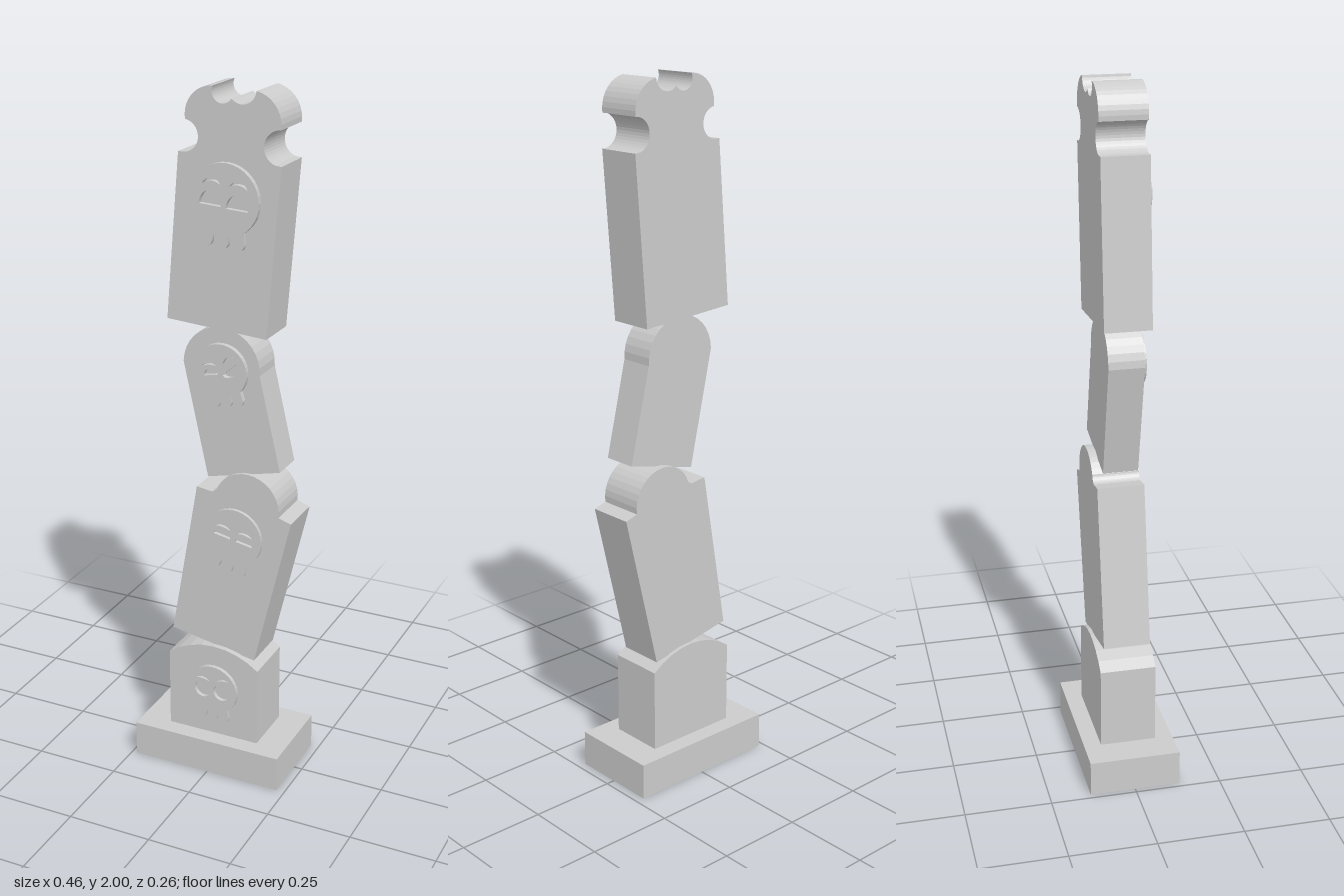
import * as THREE from 'three';

const material = new THREE.MeshStandardMaterial({ color: 0xcccccc });
const PI = Math.PI;

// Counter-clockwise outline of corners [x, y, bulge]. The bulge bends the edge arriving
// at that corner into an arc: height / half chord, positive outwards, negative inwards.
function outline(corners, Kind = THREE.Shape) {
  const pts = [new THREE.Vector2(corners[0][0], corners[0][1])];
  for (const [x, y, bulge = 0] of corners.slice(1)) {
    const a = pts[pts.length - 1], b = new THREE.Vector2(x, y);
    if (bulge) {
      const half = a.distanceTo(b) / 2, height = bulge * half;
      const radius = (half * half + height * height) / (2 * height);
      const normal = new THREE.Vector2(b.y - a.y, a.x - b.x).normalize();
      const centre = a.clone().lerp(b, 0.5).addScaledVector(normal, height - radius);
      const sweep = 4 * Math.atan(bulge), steps = Math.ceil(Math.abs(sweep) * 5) + 1;
      for (let i = 1; i < steps; i++) pts.push(a.clone().rotateAround(centre, sweep * i / steps));
    }
    pts.push(b);
  }
  return new Kind(pts);
}

// Slab cut from a shape, from z = back to z = front
function slab(name, shape, back, front) {
  const geo = new THREE.ExtrudeGeometry(shape, { depth: front - back, bevelEnabled: false });
  geo.translate(0, 0, back);
  const mesh = new THREE.Mesh(geo, material);
  mesh.name = name;
  return mesh;
}

// Eye hole: an ellipse or half of one, tilted by rot
function eye(x, y, rx, ry, from, to, rot = 0) {
  return new THREE.Path().absellipse(x, y, rx, ry, from, to, false, rot);
}

// Eyebrow hole: a curved sliver; slant lifts its outer end
function brow(side, y, slant, arch) {
  const inner = [side * 0.13, y], outer = [side * 0.66, y + slant];
  return outline([inner, [...outer, -side * (arch + 0.3)], [...inner, side * arch]], THREE.Path);
}

// Eye and brow holes for each expression
const expressions = {
  round: () => [
    eye(-0.4, 0.05, 0.34, 0.34, 0, 2 * PI), eye(0.38, 0.05, 0.34, 0.34, 0, 2 * PI),
    brow(-1, 0.42, 0.08, 0.15), brow(1, 0.42, 0.14, 0.2),
  ],
  sleepy: () => [
    eye(-0.38, 0, 0.3, 0.2, 0, PI), eye(0.4, 0, 0.3, 0.2, 0, PI),
    brow(-1, 0.3, 0, 0.15), brow(1, 0.3, 0, 0.15),
  ],
  angry: () => [
    eye(-0.38, -0.02, 0.28, 0.22, 0, PI), eye(0.36, 0.12, 0.34, 0.26, PI, 2 * PI, 0.55),
    brow(-1, 0.3, 0.04, 0.15), brow(1, 0.34, 0.22, 0.1),
  ],
  calm: () => [
    eye(-0.4, -0.1, 0.32, 0.4, 0, PI), eye(0.38, -0.12, 0.32, 0.4, 0, PI),
    brow(-1, 0.48, -0.04, 0.35), brow(1, 0.48, -0.04, 0.35),
  ],
};

// Skull relief: three rounded teeth, narrow jaw and a domed head of radius 1
function skull(expression, size, x, y, tilt, back, front) {
  const shape = outline([
    [-0.62, -0.7], [-0.66, -1.02], [-0.28, -1.08, 0.9], [-0.22, -0.85],
    [-0.2, -1.05], [0.2, -1.05, 0.9], [0.22, -0.85],
    [0.28, -1.08], [0.66, -1.02, 0.9], [0.62, -0.7],
    [0.96, -0.2, 0.15], [-0.96, -0.2, 1.33], [-0.62, -0.7, 0.15],
  ].slice(0, -1));
  shape.holes.push(...expressions[expression]());
  const mesh = slab('skullRelief', shape, back, front);
  mesh.scale.set(size, size, 1);
  mesh.position.set(x, y, 0);
  mesh.rotation.z = tilt;
  return mesh;
}

// A gravestone with its relief
function gravestone(name, back, front, corners, relief) {
  const group = new THREE.Group();
  group.name = name;
  group.add(slab('stone', outline(corners), back, front), relief);
  return group;
}

export function createModel() {
  const model = new THREE.Group();
  model.name = 'gravestoneStack';

  // Plinth
  const base = new THREE.Mesh(new THREE.BoxGeometry(0.46, 0.105, 0.264), material);
  base.name = 'base';
  base.position.set(-0.005, 0.0525, 0);
  model.add(base);

  // Upright stone with a shallow arched top
  model.add(gravestone('bottomGravestone', -0.082, 0.08, [
    [-0.145, 0.1], [0.138, 0.1], [0.138, 0.345], [-0.145, 0.345, 0.35],
  ], skull('round', 0.077, 0, 0.25, 0, 0.075, 0.092)));

  // Leaning stone with shoulders beside a round head
  model.add(gravestone('shoulderedGravestone', -0.071, 0.064, [
    [-0.14, 0.42], [0.12, 0.37], [0.228, 0.824], [0.19, 0.836],
    [0.007, 0.9, 0.82], [-0.013, 0.878, -0.3], [-0.06, 0.885],
  ], skull('sleepy', 0.087, 0.055, 0.745, -0.2, 0.06, 0.075)));

  // Small stone with a half-round top
  model.add(gravestone('roundedGravestone', -0.048, 0.053, [
    [-0.03, 0.917], [0.188, 0.967], [0.125, 1.237], [-0.103, 1.248, 1.02],
  ], skull('angry', 0.078, 0.016, 1.232, 0.2, 0.048, 0.068)));

  // Top stone: side bites, two lobes and scallops between them
  model.add(gravestone('crownedGravestone', -0.069, 0.063, [
    [-0.146, 1.367], [0.148, 1.346], [0.185, 1.81], [0.167, 1.812],
    [0.183, 1.902, -0.85], [0.114, 1.995, 0.4],
    [0.045, 1.971, -0.65], [-0.008, 2, -0.95],
    [-0.087, 1.91, 0.46], [-0.087, 1.825, -0.87], [-0.108, 1.825],
  ], skull('calm', 0.099, 0.03, 1.703, -0.07, 0.058, 0.078)));

  return model;
}
